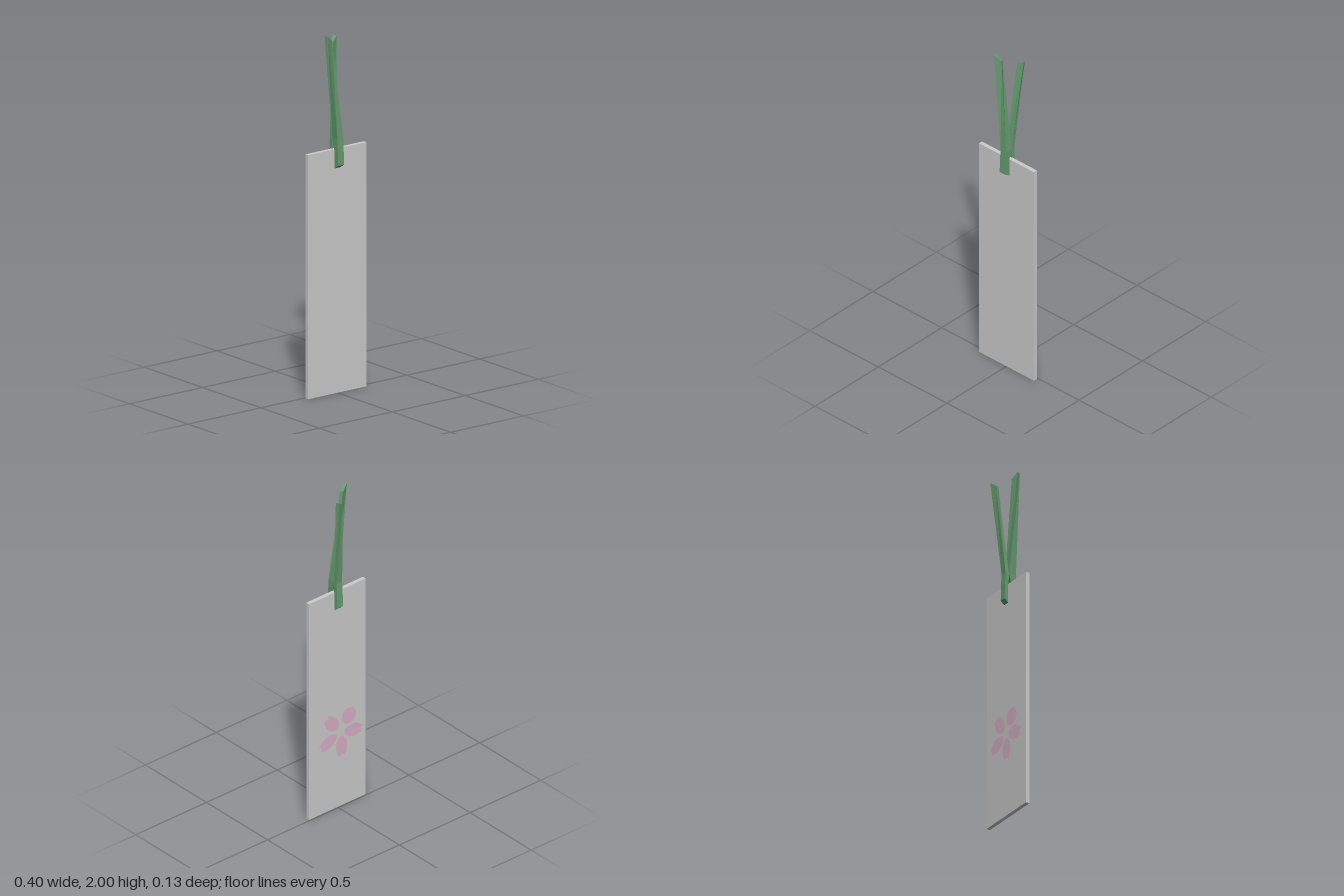
import * as THREE from 'three';

// Closed, flat-shaded strip through four-cornered cross-sections listed bottom to top.
// Corners run front -x, front +x, back +x, back -x.
function loft(sections) {
  const pos = [];
  const quad = (a, b, c, d) => pos.push(...a, ...b, ...c, ...a, ...c, ...d);
  for (let i = 0; i < sections.length - 1; i++) {
    const lo = sections[i], up = sections[i + 1];
    for (let k = 0; k < 4; k++) {
      const n = (k + 1) % 4;
      quad(lo[k], lo[n], up[n], up[k]);
    }
  }
  const [a, b, c, d] = sections[0];
  quad(d, c, b, a);
  quad(...sections[sections.length - 1]);
  const g = new THREE.BufferGeometry();
  g.setAttribute('position', new THREE.Float32BufferAttribute(pos, 3));
  g.computeVertexNormals();
  return g;
}

// Straight part of the ribbon: centred on x, with its own front and back heights
const band = (yFront, zFront, yBack, zBack, w = 0.02) => [
  [-w, yFront, zFront], [w, yFront, zFront], [w, yBack, zBack], [-w, yBack, zBack],
];

function petalShape() {
  const s = new THREE.Shape();
  s.moveTo(-0.012, 0.03);
  s.lineTo(0.012, 0.03);
  s.quadraticCurveTo(0.042, 0.065, 0.04, 0.1);
  s.quadraticCurveTo(0.036, 0.13, 0.016, 0.158);
  s.lineTo(0.008, 0.143); // notched tip
  s.lineTo(0, 0.152);
  s.lineTo(-0.008, 0.143);
  s.lineTo(-0.016, 0.158);
  s.quadraticCurveTo(-0.036, 0.13, -0.04, 0.1);
  s.quadraticCurveTo(-0.042, 0.065, -0.012, 0.03);
  return s;
}

export function createModel() {
  const model = new THREE.Group();
  model.name = 'bookmark';
  const grey = new THREE.MeshStandardMaterial({ color: 0xcccccc });
  const green = new THREE.MeshStandardMaterial({ color: 0x669a70, flatShading: true });
  const pink = new THREE.MeshStandardMaterial({ color: 0xd8b0c4, side: THREE.DoubleSide });
  const add = (parent, name, geometry, material) => {
    const m = new THREE.Mesh(geometry, material);
    m.name = name;
    parent.add(m);
    return m;
  };

  // Card
  add(model, 'card', new THREE.BoxGeometry(0.4, 1.36, 0.023), grey).position.set(0, 0.68, 0.0185);

  // Ribbon: two strands folded over the top edge, spreading apart above it
  const ribbon = new THREE.Group();
  ribbon.name = 'ribbon';
  model.add(ribbon);
  add(ribbon, 'frontStrand', loft([
    band(1.275, 0.063, 1.252, 0.028),
    band(1.365, 0.059, 1.365, 0.028),
    band(1.42, 0.056, 1.42, 0.012),
    [[-0.076, 2, 0.046], [-0.037, 1.97, 0.029], [-0.047, 1.97, 0.0125], [-0.085, 2, 0.027]],
  ]), green);
  add(ribbon, 'backStrand', loft([
    band(1.247, 0.01, 1.27, -0.015),
    band(1.365, 0.01, 1.365, -0.013),
    band(1.42, 0.012, 1.42, -0.009),
    [[0.02, 1.94, -0.029], [0.056, 1.965, -0.045], [0.047, 1.965, -0.064], [0.012, 1.94, -0.05]],
  ]), green);

  // Blossom on the back: four notched petals and a round one
  const blossom = new THREE.Group();
  blossom.name = 'blossom';
  blossom.position.set(-0.013, 0.475, -0.004);
  model.add(blossom);
  const petal = new THREE.ShapeGeometry(petalShape(), 6);
  for (const degrees of [50, 194, 266, 338]) {
    add(blossom, 'petal', petal, pink).rotation.z = THREE.MathUtils.degToRad(degrees - 90);
  }
  add(blossom, 'roundPetal', new THREE.CircleGeometry(0.05, 32), pink).position.set(-0.058, 0.079, 0);

  return model;
}
